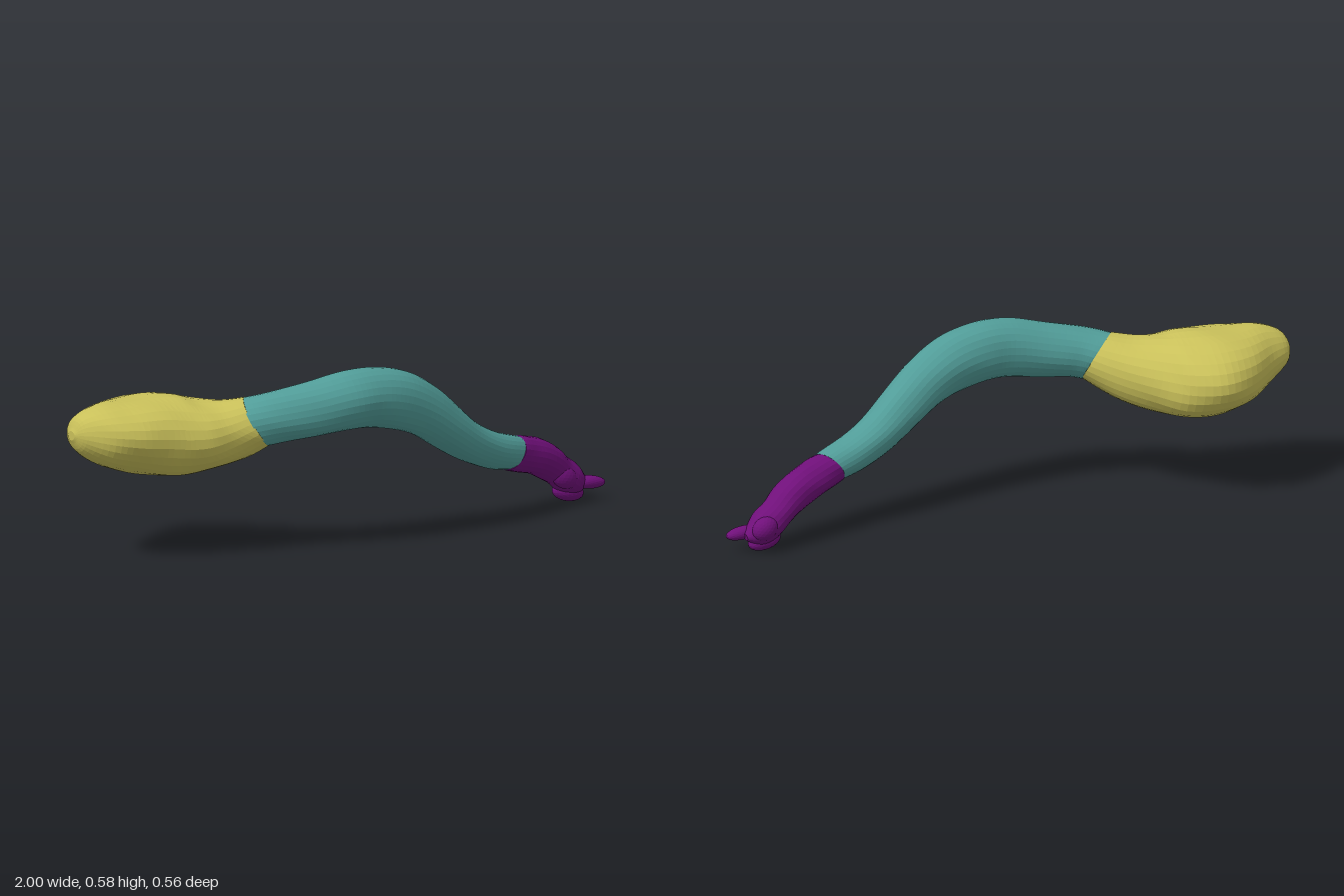
import * as THREE from 'three';

const material = (color) => new THREE.MeshStandardMaterial({ color, flatShading: true });

// Smooth closed loft through oval sections.
// Row: x, y, z, half height, half width, then optionally the section's facing direction.
function loft(name, rows, mat, steps, roll = 0, sides = 26) {
  const last = rows.length - 1;
  const spline = (pts) => new THREE.CatmullRomCurve3(pts, false, 'catmullrom', 0.5);
  const at = (i) => new THREE.Vector3(...rows[Math.min(last, Math.max(0, i))].slice(0, 3));
  const centres = spline(rows.map((r, i) => at(i)));
  const sizes = spline(rows.map((r) => new THREE.Vector3(r[3], r[4], 0)));
  const facings = spline(rows.map((r, i) =>
    (r.length > 5 ? new THREE.Vector3(...r.slice(5)) : at(i + 1).sub(at(i - 1))).normalize()));

  const pos = [], index = [], up = new THREE.Vector3(0, 1, 0);
  for (let i = 0; i <= steps; i++) {
    const t = i / steps;
    const c = centres.getPoint(t), s = sizes.getPoint(t), n = facings.getPoint(t).normalize();
    const u = up.clone().cross(n).normalize().applyAxisAngle(n, roll);
    const v = n.clone().cross(u);
    for (let j = 0; j < sides; j++) {
      const a = (j / sides) * Math.PI * 2;
      // faint unevenness of an organic surface
      const k = 1 + 0.012 * Math.sin(3 * a + 14 * t) + 0.01 * Math.sin(5 * a - 23 * t);
      const p = c.clone().addScaledVector(u, Math.cos(a) * s.y * k)
        .addScaledVector(v, Math.sin(a) * s.x * k);
      pos.push(p.x, p.y, p.z);
    }
  }
  for (let i = 0; i < steps; i++) {
    for (let j = 0; j < sides; j++) {
      const k = (j + 1) % sides;
      const a = i * sides + j, b = i * sides + k, c = a + sides, d = b + sides;
      index.push(a, b, d, a, d, c);
    }
  }
  // end caps
  const first = pos.length / 3, end = first + 1, o = steps * sides;
  pos.push(...centres.getPoint(0).toArray(), ...centres.getPoint(1).toArray());
  for (let j = 0; j < sides; j++) {
    const k = (j + 1) % sides;
    index.push(first, k, j, end, o + j, o + k);
  }
  const geo = new THREE.BufferGeometry();
  geo.setAttribute('position', new THREE.Float32BufferAttribute(pos, 3));
  geo.setIndex(index);
  geo.computeVertexNormals();
  const mesh = new THREE.Mesh(geo, mat);
  mesh.name = name;
  return mesh;
}

export function createModel() {
  const model = new THREE.Group();
  model.name = 'organ';
  const yellow = material(0xc9c05a), teal = material(0x519c98), purple = material(0x70107a);

  // broad flattened head, narrowing to the slanted joint
  model.add(loft('head', [
    [-0.995, 0.43, -0.06, 0.015, 0.02, 1, 0, 0],
    [-0.967, 0.43, -0.06, 0.06, 0.067, 1, 0, 0],
    [-0.895, 0.42, -0.057, 0.097, 0.122, 1, 0, 0.05],
    [-0.80, 0.407, -0.08, 0.118, 0.18, 1, 0, 0.11],
    [-0.70, 0.398, -0.083, 0.132, 0.204, 1, 0, 0.15],
    [-0.61, 0.392, -0.05, 0.133, 0.19, 1, 0.05, 0.22],
    [-0.54, 0.395, 0, 0.12, 0.152, 1, 0.2, 0.28],
    [-0.46, 0.412, 0.053, 0.105, 0.114, 1, 0.5, 0.5],
    [-0.39, 0.44, 0.105, 0.088, 0.09, 1, 0.75, 0.8],
  ], yellow, 36, -0.1));

  // long arched body
  model.add(loft('body', [
    [-0.395, 0.438, 0.105, 0.088, 0.088, 1, 0.75, 0.8],
    [-0.33, 0.452, 0.132, 0.086, 0.084, 1, 0.4, 0.5],
    [-0.22, 0.468, 0.163, 0.09, 0.087],
    [-0.10, 0.487, 0.183, 0.096, 0.09],
    [0.0, 0.487, 0.18, 0.098, 0.087],
    [0.1, 0.465, 0.175, 0.097, 0.083],
    [0.2, 0.418, 0.163, 0.086, 0.078],
    [0.3, 0.35, 0.143, 0.076, 0.075],
    [0.4, 0.285, 0.118, 0.066, 0.072],
    [0.5, 0.24, 0.093, 0.061, 0.067],
    [0.595, 0.214, 0.068, 0.06, 0.06, 1, -0.7, -0.45],
  ], teal, 60));

  // tapering tail with a knobbly end
  const tail = new THREE.Group();
  tail.name = 'tail';
  tail.add(loft('tailStem', [
    [0.595, 0.213, 0.068, 0.061, 0.061, 1, -0.7, -0.45],
    [0.66, 0.196, 0.043, 0.06, 0.06],
    [0.72, 0.178, 0.023, 0.06, 0.06],
    [0.78, 0.148, 0.003, 0.058, 0.058],
    [0.825, 0.115, -0.012, 0.052, 0.056],
    [0.87, 0.083, -0.022, 0.054, 0.058],
    [0.91, 0.062, -0.03, 0.04, 0.046],
    [0.945, 0.055, -0.03, 0.012, 0.015],
  ], purple, 30, 0, 20));
  // lobes: centre, radii, tilt about z
  const lobes = [
    [0.94, 0.063, -0.002, 0.062, 0.022, 0.025, -0.1],
    [0.89, 0.085, -0.06, 0.045, 0.038, 0.032, -0.4],
    [0.875, 0.035, -0.025, 0.058, 0.031, 0.034, -0.2],
    [0.83, 0.098, 0.022, 0.052, 0.037, 0.03, -0.6],
  ];
  for (const [x, y, z, rx, ry, rz, tilt] of lobes) {
    const lobe = new THREE.Mesh(new THREE.IcosahedronGeometry(1, 3), purple);
    lobe.name = 'tailLobe';
    lobe.position.set(x, y, z);
    lobe.scale.set(rx, ry, rz);
    lobe.rotation.z = tilt;
    tail.add(lobe);
  }
  model.add(tail);
  return model;
}
